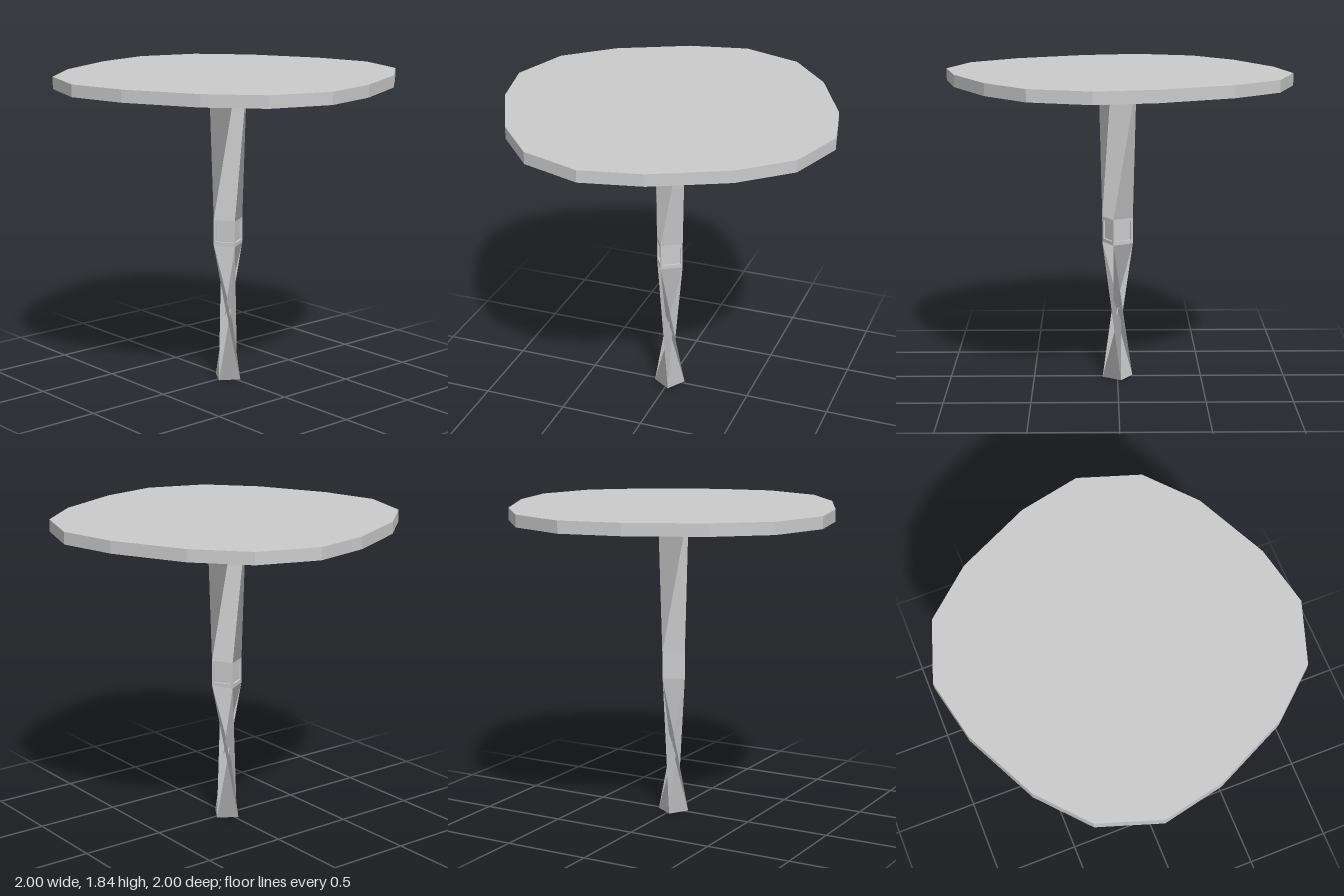
import * as THREE from 'three';

const rad = THREE.MathUtils.degToRad;

// Point on a square section: azimuth in degrees, measured from +z towards +x
const corner = (r, deg, y) => [r * Math.sin(rad(deg)), y, r * Math.cos(rad(deg))];

// Four flat-lit quads twisting from a lower square to an upper square
function twistedPrism(low, high, twist) {
  const pos = [], nor = [];
  for (let k = 0; k < 4; k++) {
    const t = low.angle + k * 90;
    const a0 = corner(low.r, t, low.y), a1 = corner(low.r, t + 90, low.y);
    const b0 = corner(high.r, t + twist, high.y), b1 = corner(high.r, t + 90 + twist, high.y);
    const n = corner(1, t + 45 + twist / 2, 0);
    for (const p of [a0, a1, b0, a1, b1, b0]) {
      pos.push(...p);
      nor.push(...n);
    }
  }
  const g = new THREE.BufferGeometry();
  g.setAttribute('position', new THREE.Float32BufferAttribute(pos, 3));
  g.setAttribute('normal', new THREE.Float32BufferAttribute(nor, 3));
  return g;
}

const rectangle = (Type, h, v) => new Type([
  new THREE.Vector2(-h, -v), new THREE.Vector2(h, -v),
  new THREE.Vector2(h, v), new THREE.Vector2(-h, v),
]);

export function createModel() {
  const model = new THREE.Group();
  model.name = 'pedestalTable';
  const solid = new THREE.MeshStandardMaterial({ color: 0xcccccc });
  const thin = new THREE.MeshStandardMaterial({ color: 0xcccccc, side: THREE.DoubleSide });
  const add = (name, geometry, material = solid, parent = model) => {
    const mesh = new THREE.Mesh(geometry, material);
    mesh.name = name;
    parent.add(mesh);
    return mesh;
  };

  // Irregular tabletop: one quarter of the outline repeated by quarter turns
  const quarter = [[0.14, -1], [0.488, -0.885], [0.725, -0.618], [0.925, -0.207]];
  const outline = [];
  for (let k = 0; k < 4; k++) {
    for (const [x, z] of quarter) {
      outline.push(new THREE.Vector2(x, z).rotateAround(new THREE.Vector2(), k * Math.PI / 2));
    }
  }
  const top = new THREE.ExtrudeGeometry(new THREE.Shape(outline), { depth: 0.07, bevelEnabled: false });
  top.rotateX(Math.PI / 2);
  add('tabletop', top).position.y = 1.84;

  // Twisted stem above and below the collar
  const foot = { r: 0.092, angle: 12.5, y: 0 };
  const collarBottom = { r: 0.0934, angle: -15.5, y: 0.823 };
  const collarTop = { r: 0.0934, angle: -15.5, y: 0.977 };
  const stemTop = { r: 0.116, y: 1.77 };
  add('lowerStem', twistedPrism(foot, collarBottom, -118), thin);
  add('upperStem', twistedPrism(collarTop, stemTop, 85.5), thin);

  // Sole of the stem
  const sole = new THREE.CircleGeometry(foot.r, 4, rad(-foot.angle));
  sole.rotateX(Math.PI / 2);
  add('sole', sole, thin);

  // Square collar with a recessed panel on each side
  const collar = new THREE.Group();
  collar.name = 'collar';
  collar.position.y = 0.9;
  collar.rotation.y = rad(29.5);
  model.add(collar);
  const half = 0.066, halfHeight = 0.077, recess = 0.012;
  const core = 2 * (half - recess);
  add('collarCore', new THREE.BoxGeometry(core, 2 * halfHeight, core), solid, collar);
  const frame = rectangle(THREE.Shape, half, halfHeight);
  frame.holes.push(rectangle(THREE.Path, half - 0.013, halfHeight - 0.022));
  const frameGeometry = new THREE.ExtrudeGeometry(frame, { depth: recess, bevelEnabled: false });
  frameGeometry.translate(0, 0, half - recess);
  for (let k = 0; k < 4; k++) {
    add('collarFrame', frameGeometry, solid, collar).rotation.y = k * Math.PI / 2;
  }

  return model;
}
